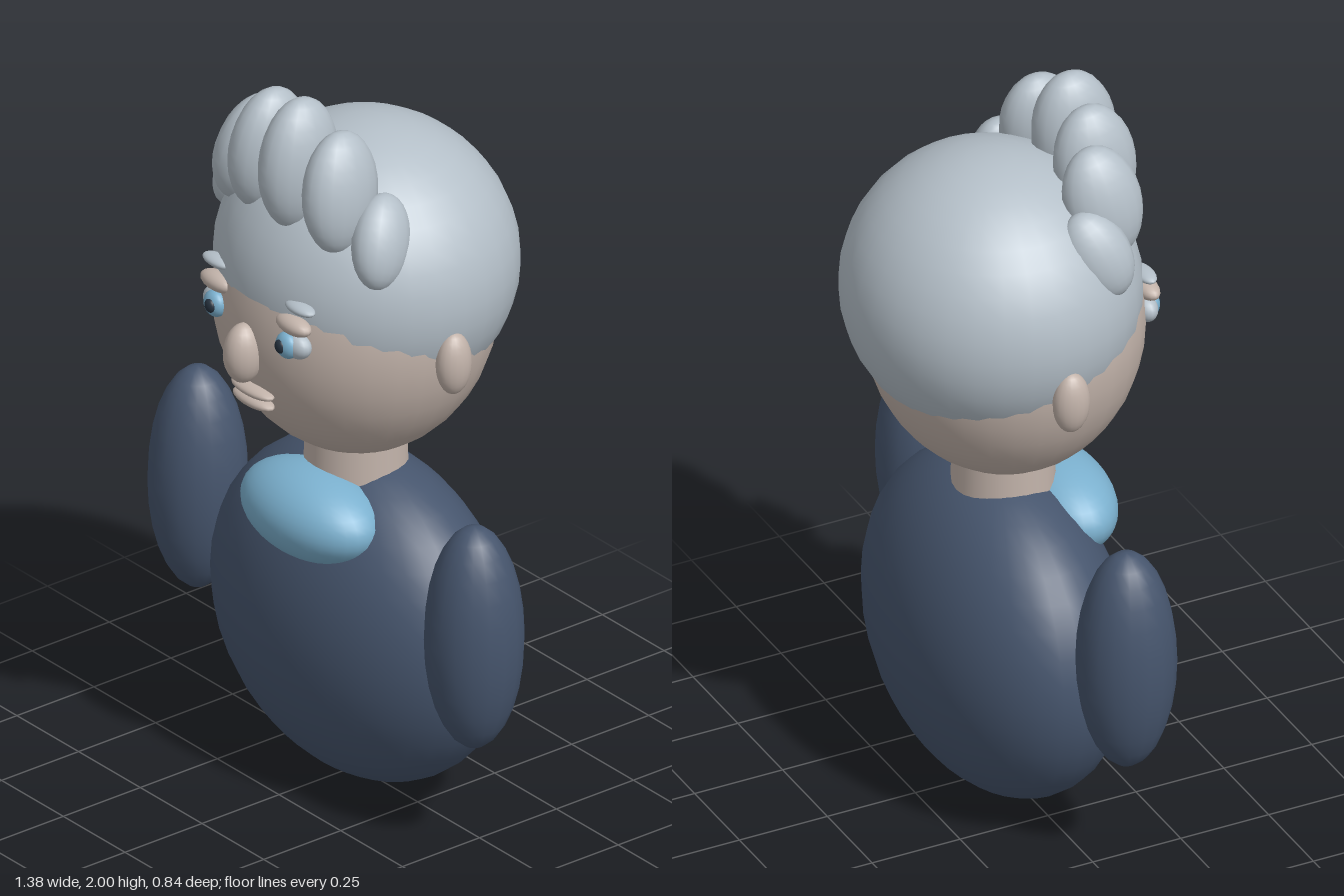
import * as THREE from 'three';

const paint = (name, color) => {
  const m = new THREE.MeshStandardMaterial({ color });
  m.name = name;
  return m;
};

export function createModel() {
  const model = new THREE.Group();
  model.name = 'bust';

  const hair = paint('silver hair', 0xb4bfc8);
  const skin = paint('pale skin', 0xc2b3aa);
  const navy = paint('navy cloth', 0x46556d);
  const blue = paint('light blue', 0x7bb0ce);
  const dark = paint('dark pupil', 0x26323f);

  const fine = new THREE.SphereGeometry(1, 32, 20);
  const coarse = new THREE.SphereGeometry(1, 18, 14);

  // Ellipsoid with centre, radii and optional tilt
  const blob = (name, material, pos, radii, rot = [0, 0, 0], geometry = coarse) => {
    const mesh = new THREE.Mesh(geometry, material);
    mesh.name = name;
    mesh.position.set(...pos);
    mesh.scale.set(...radii);
    mesh.rotation.set(...rot);
    model.add(mesh);
    return mesh;
  };

  // Body
  blob('torso', navy, [0, 0.457, -0.02], [0.5, 0.455, 0.29], [0, 0, 0], fine);
  blob('bib', blue, [0, 0.785, 0.145], [0.23, 0.12, 0.14], [0, 0, 0], fine);
  const neck = new THREE.Mesh(new THREE.CylinderGeometry(0.13, 0.135, 0.2, 24), skin);
  neck.name = 'neck';
  neck.position.set(0, 0.93, 0);
  model.add(neck);

  // Head with a hair cap that overlaps the skull
  blob('head', skin, [0, 1.36, 0], [0.375, 0.42, 0.36], [0, 0, 0], fine);
  blob('hairCap', hair, [0, 1.46, -0.035], [0.402, 0.38, 0.384], [0, 0, 0], fine);

  // Nose and lips
  blob('nose', skin, [0, 1.307, 0.365], [0.048, 0.083, 0.056]);
  blob('upperLip', skin, [0, 1.194, 0.335], [0.08, 0.016, 0.03]);
  blob('lowerLip', skin, [0, 1.163, 0.332], [0.077, 0.018, 0.03]);

  // Paired parts
  for (const [side, s] of [['left', 1], ['right', -1]]) {
    blob(side + 'Arm', navy, [s * 0.56, 0.626, 0.065], [0.128, 0.314, 0.13]);
    blob(side + 'Ear', skin, [s * 0.39, 1.315, -0.005], [0.04, 0.086, 0.05]);
    blob(side + 'EyeWhite', hair, [s * 0.156, 1.38, 0.32], [0.052, 0.037, 0.032]);
    blob(side + 'Iris', blue, [s * 0.146, 1.38, 0.34], [0.036, 0.036, 0.026]);
    blob(side + 'Pupil', dark, [s * 0.142, 1.381, 0.36], [0.018, 0.019, 0.012]);
    blob(side + 'Eyelid', skin, [s * 0.153, 1.436, 0.325], [0.062, 0.025, 0.031]);
    blob(side + 'Eyebrow', hair, [s * 0.167, 1.486, 0.315], [0.053, 0.015, 0.026]);
  }

  // Swept-up quiff: x, y, z, radii, backward tilt, lean
  const tufts = [
    [-0.275, 1.655, 0.13, 0.062, 0.125, 0.085, -0.4, -0.3],
    [-0.2, 1.757, 0.18, 0.073, 0.155, 0.105, -0.18, -0.2],
    [-0.098, 1.805, 0.21, 0.076, 0.17, 0.112, -0.1, -0.08],
    [0.043, 1.823, 0.222, 0.08, 0.178, 0.115, -0.1, 0.02],
    [0.172, 1.78, 0.19, 0.074, 0.162, 0.11, -0.15, 0.14],
    [0.27, 1.66, 0.135, 0.064, 0.125, 0.085, -0.4, 0.3],
  ];
  tufts.forEach(([x, y, z, rx, ry, rz, tilt, lean], i) =>
    blob('hairTuft' + (i + 1), hair, [x, y, z], [rx, ry, rz], [tilt, 0, lean]));

  return model;
}
